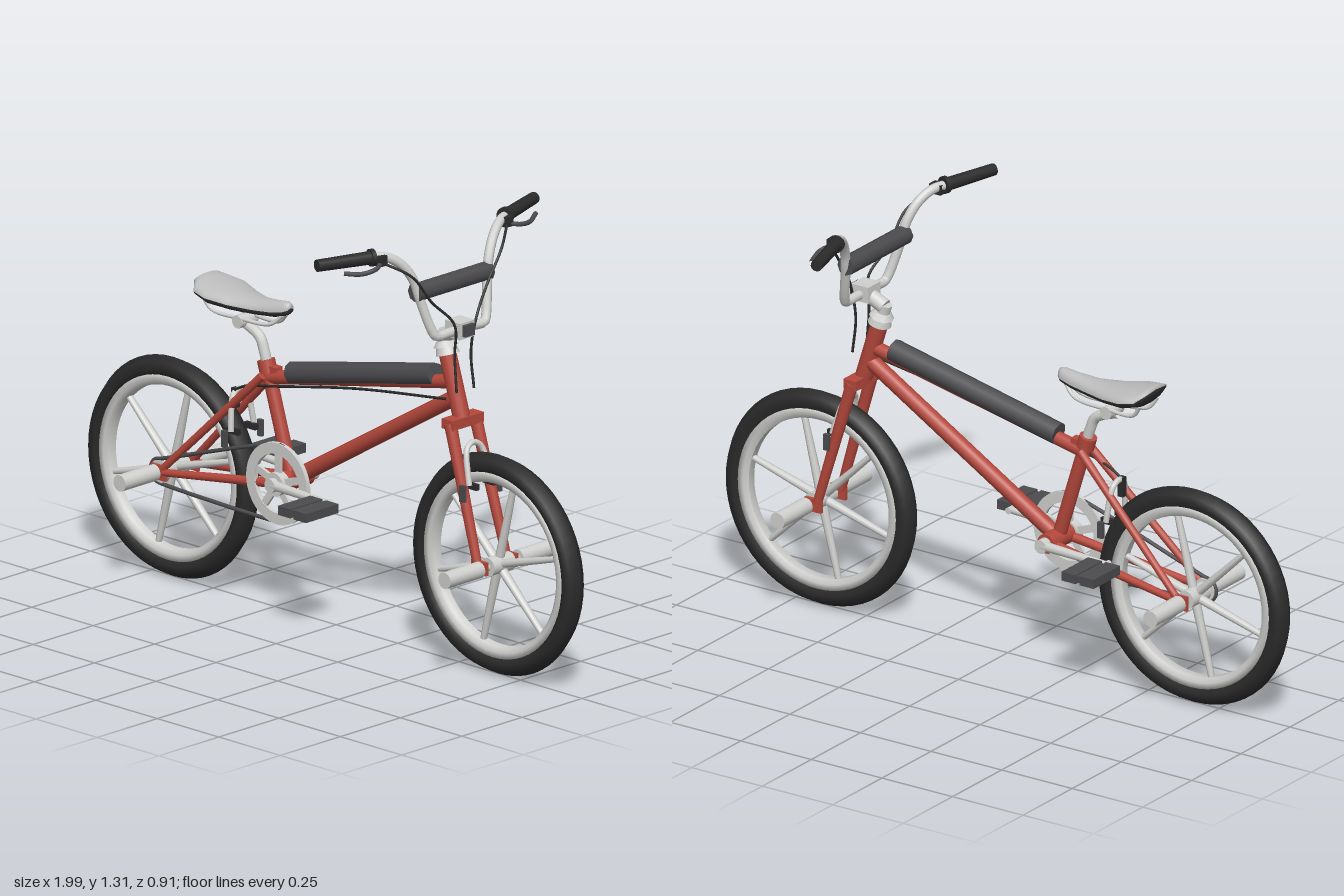
import * as THREE from 'three';

const mat = (name, color, side = THREE.FrontSide) => {
  const m = new THREE.MeshStandardMaterial({ color, side });
  m.name = name;
  return m;
};

export function createModel() {
  const root = new THREE.Group();
  root.name = 'bicycle';
  const red = mat('red paint', 0xb5483c);
  const silver = mat('silver metal', 0xd0d0ce);
  const rubber = mat('black rubber', 0x2b2b2b);
  const padGrey = mat('dark grey padding', 0x4c4c4f);
  const seatGrey = mat('light grey seat', 0xbcbcbc, THREE.DoubleSide);
  const seatDark = mat('dark seat base', 0x38383a, THREE.DoubleSide);
  const V = (p) => new THREE.Vector3(...p);

  const add = (name, geo, m, pos = [0, 0, 0], parent = root) => {
    const mesh = new THREE.Mesh(geo, m);
    mesh.name = name;
    mesh.position.set(...pos);
    parent.add(mesh);
    return mesh;
  };
  // Straight tube between two points
  const rod = (name, a, b, r0, m, r1 = r0, sides = 14, parent = root) => {
    const d = V(b).sub(V(a));
    const mesh = add(name, new THREE.CylinderGeometry(r1, r0, d.length(), sides), m, [0, 0, 0], parent);
    mesh.position.copy(V(a)).addScaledVector(d, 0.5);
    mesh.quaternion.setFromUnitVectors(new THREE.Vector3(0, 1, 0), d.normalize());
    return mesh;
  };
  // Bent tube through points
  const bend = (name, pts, r, m, closed = false, n = 40) => add(name,
    new THREE.TubeGeometry(new THREE.CatmullRomCurve3(pts.map(V), closed, 'centripetal'), n, r, 10, closed), m);
  const box = (name, size, pos, m) => add(name, new THREE.BoxGeometry(...size), m, pos);
  const lathe = (pts) => new THREE.LatheGeometry(pts.map((p) => new THREE.Vector2(...p)), 56).rotateX(Math.PI / 2);
  const flip = (p, s) => [p[0], p[1], p[2] * s];

  // Wheels with moulded spokes, hubs and pegs
  const tyreGeo = lathe([[0.276, -0.022], [0.295, -0.031], [0.319, -0.029], [0.335, 0],
    [0.319, 0.029], [0.295, 0.031], [0.276, 0.022], [0.276, -0.022]]);
  const rimGeo = lathe([[0.248, -0.014], [0.262, -0.024], [0.281, -0.024], [0.281, 0.024],
    [0.262, 0.024], [0.248, 0.014], [0.248, -0.014]]);
  for (const [label, x] of [['rear', -0.662], ['front', 0.66]]) {
    const wheel = new THREE.Group();
    wheel.name = label + 'Wheel';
    wheel.position.set(x, 0.34, 0);
    root.add(wheel);
    add('tyre', tyreGeo, rubber, [0, 0, 0], wheel);
    add('rim', rimGeo, silver, [0, 0, 0], wheel);
    rod('hub', [0, 0, -0.045], [0, 0, 0.045], 0.028, silver, 0.028, 20, wheel);
    rod('axle', [0, 0, -0.1], [0, 0, 0.1], 0.012, silver, 0.012, 12, wheel);
    for (let i = 0; i < 6; i++) {
      const a = (16 + i * 60) * Math.PI / 180;
      const spoke = rod('spoke', [Math.cos(a) * 0.02, Math.sin(a) * 0.02, 0],
        [Math.cos(a) * 0.253, Math.sin(a) * 0.253, 0], 0.013, silver, 0.009, 8, wheel);
      spoke.scale.z = 1.2;
    }
    for (const s of [-1, 1]) {
      rod('peg', [0, 0, s * 0.08], [0, 0, s * 0.225], 0.025, silver, 0.025, 20, wheel);
    }
  }

  // Frame tubes
  rod('seatTube', [-0.18, 0.41, 0], [-0.285, 0.75, 0], 0.021, red);
  rod('topTube', [-0.28, 0.7, 0], [0.47, 0.855, 0], 0.021, red);
  rod('downTube', [-0.18, 0.41, 0], [0.485, 0.81, 0], 0.024, red);
  rod('headTube', [0.51, 0.755, 0], [0.452, 0.94, 0], 0.026, red, 0.026, 18);
  rod('bottomBracket', [-0.18, 0.41, -0.065], [-0.18, 0.41, 0.065], 0.03, red, 0.03, 18);
  rod('seatClamp', [-0.275, 0.715, 0], [-0.286, 0.752, 0], 0.027, red);
  box('seatClampBolt', [0.035, 0.025, 0.03], [-0.25, 0.727, 0], red);
  rod('topTubePad', [-0.18, 0.735, 0], [0.405, 0.863, 0], 0.034, padGrey, 0.034, 8);

  for (const s of [-1, 1]) {
    rod('chainStay', [-0.18, 0.405, s * 0.042], [-0.65, 0.34, s * 0.066], 0.015, red, 0.011);
    rod('seatStay', [-0.275, 0.71, s * 0.025], [-0.65, 0.345, s * 0.066], 0.013, red, 0.011);
    box('rearDropout', [0.06, 0.045, 0.01], [-0.655, 0.34, s * 0.068], red);
    // Fork legs
    rod('forkLeg', [0.515, 0.748, s * 0.052], [0.632, 0.35, s * 0.06], 0.019, red, 0.014);
    box('frontDropout', [0.06, 0.04, 0.012], [0.645, 0.34, s * 0.062], red);
  }
  box('forkCrown', [0.045, 0.03, 0.13], [0.515, 0.747, 0], red);

  // Headset and stem
  rod('headset', [0.454, 0.935, 0], [0.447, 0.958, 0], 0.036, silver, 0.03, 18);
  rod('headsetNut', [0.447, 0.958, 0], [0.442, 0.975, 0], 0.038, silver, 0.025, 8);
  rod('stemPost', [0.445, 0.96, 0], [0.433, 1.0, 0], 0.021, silver);
  rod('stemNeck', [0.435, 0.99, 0], [0.505, 1.022, 0], 0.023, silver);
  box('stemClamp', [0.06, 0.05, 0.062], [0.503, 1.026, 0], silver);
  box('stemBolts', [0.015, 0.035, 0.04], [0.537, 1.027, 0], padGrey);

  // Handlebar, crossbar pad, grips and brake levers
  const bar = [[0.505, 1.022, 0], [0.505, 1.022, 0.05], [0.505, 1.023, 0.1], [0.5, 1.04, 0.112],
    [0.475, 1.15, 0.143], [0.467, 1.2, 0.157], [0.452, 1.25, 0.19], [0.433, 1.28, 0.235],
    [0.415, 1.285, 0.28], [0.368, 1.288, 0.445]];
  bend('handlebar', [...bar.slice(1).reverse().map((p) => flip(p, -1)), ...bar], 0.0145, silver, false, 110);
  rod('crossbar', [0.47, 1.16, -0.145], [0.47, 1.16, 0.145], 0.011, silver);
  rod('crossbarPad', [0.469, 1.16, -0.152], [0.469, 1.16, 0.152], 0.029, padGrey, 0.029, 8);
  for (const s of [-1, 1]) {
    const f = (p) => flip(p, s);
    rod('grip', f([0.414, 1.285, 0.283]), f([0.363, 1.288, 0.452]), 0.02, rubber, 0.018, 16);
    rod('gripFlange', f([0.418, 1.285, 0.272]), f([0.414, 1.285, 0.284]), 0.026, rubber, 0.026, 16);
    box('leverMount', [0.04, 0.03, 0.03], f([0.43, 1.277, 0.262]), rubber);
    bend('brakeLever', [f([0.44, 1.272, 0.262]), f([0.455, 1.263, 0.3]), f([0.445, 1.257, 0.35]),
      f([0.42, 1.265, 0.4])], 0.007, padGrey, false, 16);
    bend('brakeCable', [f([0.44, 1.272, 0.262]), f([0.49, 1.22, 0.185]), f([0.5, 1.13, 0.115]),
      f([0.525, 1.05, 0.045]), f([0.515, 0.95, 0.034]), f([0.525, 0.84, 0.036])], 0.004, rubber);
  }

  // Brake calipers
  for (const [label, x, y, tilt] of [['front', 0.565, 0.655, 0.28], ['rear', -0.39, 0.605, 0.1]]) {
    const brake = bend(label + 'Caliper', [-1, -0.93, -0.6, 0, 0.6, 0.93, 1].map((t) =>
      [0, 0.035 - 0.12 * t ** 4, t * 0.048]), 0.009, silver, false, 30);
    brake.position.set(x, y, 0);
    brake.rotation.z = tilt;
    const dx = 0.085 * Math.sin(tilt);
    for (const s of [-1, 1]) {
      box(label + 'BrakePad', [0.045, 0.018, 0.014], [x + dx, y - 0.085, s * 0.036], rubber);
      box(label + 'CaliperArm', [0.018, 0.05, 0.012], [x + dx, y - 0.1, s * 0.075], padGrey);
    }
  }
  box('rearCaliperBolt', [0.018, 0.06, 0.02], [-0.395, 0.615, 0.015], rubber);
  bend('rearBrakeCable', [[0.48, 0.81, 0.03], [0.1, 0.755, 0.024], [-0.25, 0.685, 0.03],
    [-0.34, 0.665, 0.02], [-0.395, 0.64, 0.015]], 0.004, rubber);

  // Chainring with five arms
  const ring = new THREE.Shape().absarc(0, 0, 0.124, 0, Math.PI * 2);
  ring.holes.push(new THREE.Path().absarc(0, 0, 0.09, 0, Math.PI * 2, true));
  add('chainring', new THREE.ExtrudeGeometry(ring, { depth: 0.014, bevelEnabled: false, curveSegments: 40 }),
    silver, [-0.18, 0.41, 0.05]);
  for (let i = 0; i < 5; i++) {
    const a = 0.3 + i * Math.PI * 0.4;
    const arm = box('chainringArm', [0.085, 0.022, 0.01],
      [-0.18 + Math.cos(a) * 0.06, 0.41 + Math.sin(a) * 0.06, 0.057], silver);
    arm.rotation.z = a;
  }
  rod('chainringHub', [-0.18, 0.41, 0.045], [-0.18, 0.41, 0.075], 0.036, silver, 0.036, 20);
  rod('crankAxle', [-0.18, 0.41, -0.09], [-0.18, 0.41, 0.09], 0.014, silver);
  rod('rearCog', [-0.662, 0.34, 0.046], [-0.662, 0.34, 0.062], 0.036, silver, 0.036, 18);

  // Chain loop around both sprockets
  const chain = [];
  for (let i = 0; i <= 12; i++) {
    const a = -Math.PI / 2 + (i / 12) * Math.PI;
    chain.push([-0.18 + Math.cos(a) * 0.118, 0.41 + Math.sin(a) * 0.118, 0.057]);
  }
  for (let i = 0; i <= 8; i++) {
    const a = Math.PI / 2 + (i / 8) * Math.PI;
    chain.push([-0.662 + Math.cos(a) * 0.037, 0.34 + Math.sin(a) * 0.037, 0.057]);
  }
  bend('chain', chain, 0.006, padGrey, true, 140);

  // Crank arms and pedals, half a turn apart
  for (const s of [-1, 1]) {
    const px = -0.18 + s * 0.235;
    rod('crankArm', [-0.18, 0.41, s * 0.08], [px, 0.41, s * 0.095], 0.015, silver, 0.011, 10);
    rod('crankBoss', [-0.18, 0.41, s * 0.066], [-0.18, 0.41, s * 0.094], 0.021, silver);
    rod('pedalAxle', [px, 0.41, s * 0.08], [px, 0.41, s * 0.225], 0.01, silver);
    for (const k of [-1, 1]) {
      box('pedalBlock', [0.05, 0.028, 0.135], [px + k * 0.032, 0.41, s * 0.173], padGrey);
    }
    box('pedalCore', [0.03, 0.02, 0.125], [px, 0.41, s * 0.173], padGrey);
  }

  // Seat post, clamp and rails
  bend('seatPost', [[-0.275, 0.72, 0], [-0.292, 0.775, 0], [-0.31, 0.815, 0], [-0.345, 0.835, 0],
    [-0.39, 0.85, 0]], 0.016, silver);
  rod('seatPostClamp', [-0.37, 0.855, -0.035], [-0.37, 0.855, 0.035], 0.02, silver);
  for (const s of [-1, 1]) {
    bend('seatRail', [[-0.5, 0.91, s * 0.045], [-0.47, 0.873, s * 0.038], [-0.37, 0.866, s * 0.028],
      [-0.25, 0.872, s * 0.018], [-0.21, 0.905, s * 0.008]], 0.006, silver);
  }

  // Saddle: lofted upper shell and dark base; stations are x, half width, top, edge, bottom
  const stations = [[-0.526, 0, 0.955, 0.955, 0.955], [-0.525, 0.055, 0.965, 0.95, 0.935],
    [-0.5, 0.082, 0.959, 0.93, 0.905], [-0.45, 0.09, 0.952, 0.922, 0.89], [-0.38, 0.068, 0.94, 0.912, 0.885],
    [-0.31, 0.044, 0.937, 0.908, 0.886], [-0.24, 0.03, 0.943, 0.912, 0.893],
    [-0.2, 0.024, 0.949, 0.92, 0.905], [-0.187, 0.014, 0.945, 0.925, 0.914], [-0.186, 0, 0.93, 0.93, 0.93]];
  const saddleHalf = (start) => {
    const n = 12, pos = [], idx = [];
    stations.forEach(([x, w, top, edge, bottom], i) => {
      for (let j = 0; j <= n; j++) {
        const a = start + (j / n) * Math.PI, c = Math.cos(a), s = Math.sin(a);
        pos.push(x, edge + (s > 0 ? (top - edge) * s : (edge - bottom) * s), w * c);
        if (i && j < n) {
          const p = (i - 1) * (n + 1) + j, q = p + n + 1;
          idx.push(p, q, p + 1, q, q + 1, p + 1);
        }
      }
    });
    const g = new THREE.BufferGeometry();
    g.setAttribute('position', new THREE.Float32BufferAttribute(pos, 3));
    g.setIndex(idx);
    g.computeVertexNormals();
    return g;
  };
  add('saddleTop', saddleHalf(0), seatGrey);
  add('saddleBase', saddleHalf(Math.PI), seatDark);

  return root;
}
